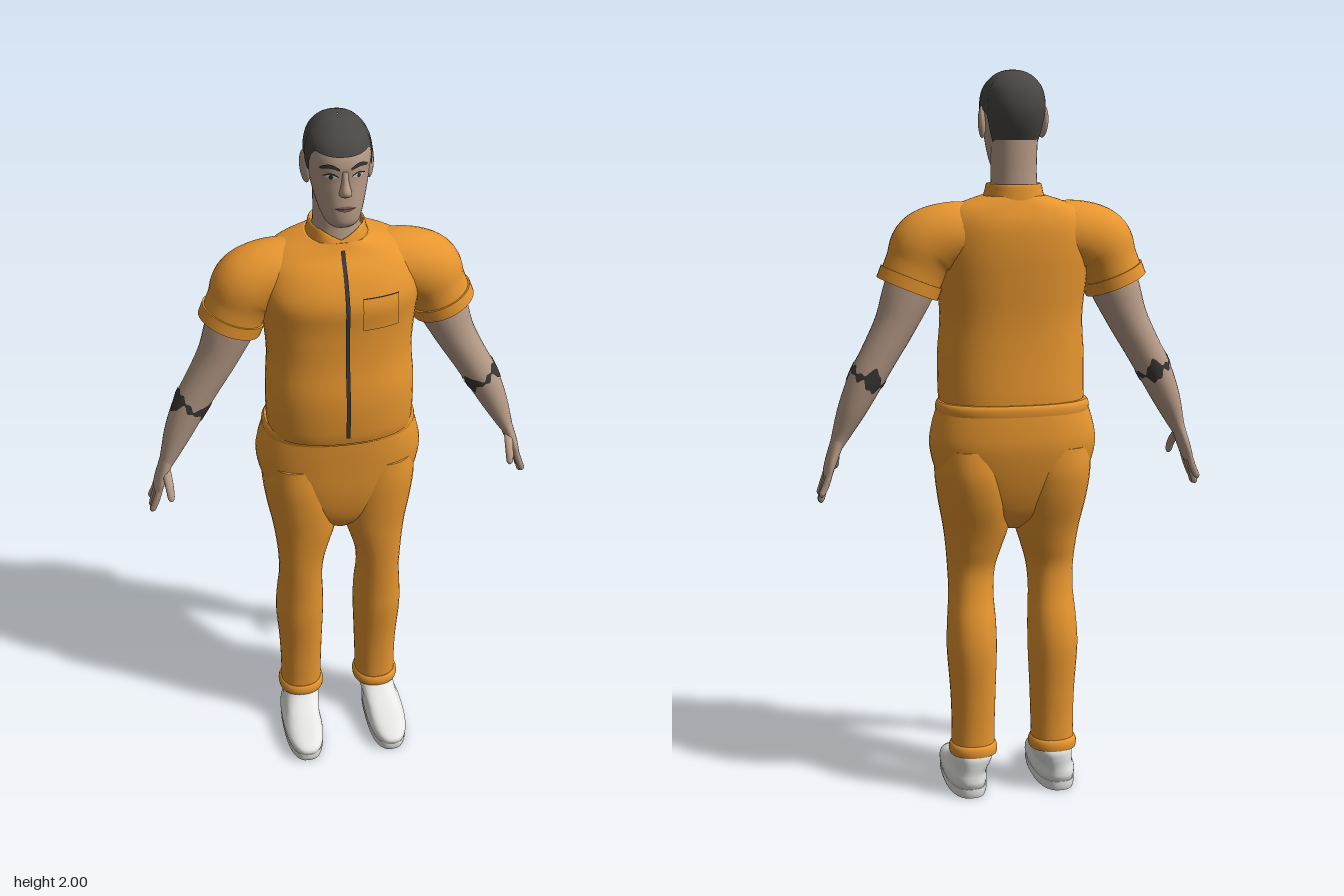
import * as THREE from 'three';

const paint = (name, color, side = THREE.FrontSide) => {
  const m = new THREE.MeshStandardMaterial({ color, side });
  m.name = name;
  return m;
};

// Smooth interpolation through rows of numbers; t runs from 0 to rows.length - 1
function sample(rows, t) {
  const last = rows.length - 1;
  const i = Math.max(0, Math.min(last - 1, Math.floor(t))), f = t - i;
  const row = k => rows[Math.max(0, Math.min(last, k))];
  return rows[0].map((_, k) => {
    const a = row(i - 1)[k], b = row(i)[k], c = row(i + 1)[k], d = row(i + 2)[k];
    return b + 0.5 * f * (c - a + f * (2 * a - 5 * b + 4 * c - d + f * (3 * (b - c) + d - a)));
  });
}
const rounded = (v, n) => Math.sign(v) * Math.abs(v) ** (2 / n);

// Upright form from rows of [y, half width, front z, back z, centre x]
function upright(rows, n = 2.2) {
  const full = rows.map(r => [r[0], r[1], r[2], r[3], r[4] ?? 0]);
  const at = (t, a) => {
    const [y, w, zf, zb, cx] = sample(full, t);
    return new THREE.Vector3(cx + w * rounded(Math.cos(a), n), y,
      (zf + zb) / 2 - (zf - zb) / 2 * rounded(Math.sin(a), n));
  };
  const end = rows.length - 1;
  const find = y => {
    let lo = 0, hi = end;
    for (let k = 0; k < 30; k++) {
      const m = (lo + hi) / 2;
      if (sample(full, m)[0] < y) lo = m; else hi = m;
    }
    return lo;
  };
  // Point on the front at a given x and y
  const front = (x, y, lift) => {
    const t = find(y), w = sample(full, t)[1];
    const c = rounded(Math.max(-1, Math.min(1, x / w)), 4 / n);
    const p = at(t, -Math.acos(c) + 2 * Math.PI);
    const q = at(t, Math.acos(c));
    p.z = Math.max(p.z, q.z) + lift;
    return p;
  };
  return { at, end, find, front };
}

// Limb from rows of [x, y, z, radius across, radius along z]
function limb(rows) {
  const end = rows.length - 1;
  const at = (t, a, grow = 0) => {
    const [x, y, z, ru, rv] = sample(rows, t);
    const p = sample(rows, Math.max(0, t - 0.05)), q = sample(rows, Math.min(end, t + 0.05));
    const dx = q[0] - p[0], dy = q[1] - p[1], l = Math.hypot(dx, dy) || 1;
    const u = (ru + grow) * Math.cos(a);
    return new THREE.Vector3(x - dy / l * u, y + dx / l * u, z + (rv + grow) * Math.sin(a));
  };
  return { at, end };
}

// Grid surface from fn(v, u), both 0..1; closed wraps u, capped fills both ends
function surface(fn, nv, nu, closed = true, capped = closed) {
  const pos = [], idx = [], cols = closed ? nu : nu + 1;
  for (let i = 0; i <= nv; i++)
    for (let j = 0; j < cols; j++) pos.push(...fn(i / nv, j / nu).toArray());
  for (let i = 0; i < nv; i++)
    for (let j = 0; j < nu; j++) {
      const k = (j + 1) % cols, a = i * cols + j, b = i * cols + k;
      idx.push(a, b, a + cols, b, b + cols, a + cols);
    }
  if (capped) for (const v of [0, 1]) {
    const base = pos.length / 3, mid = new THREE.Vector3();
    for (let j = 0; j < nu; j++) {
      const p = fn(v, j / nu);
      mid.addScaledVector(p, 1 / nu);
      pos.push(...p.toArray());
    }
    pos.push(...mid.toArray());
    for (let j = 0; j < nu; j++) {
      const a = base + j, b = base + (j + 1) % nu;
      if (v) idx.push(a, b, base + nu); else idx.push(b, a, base + nu);
    }
  }
  const g = new THREE.BufferGeometry();
  g.setAttribute('position', new THREE.Float32BufferAttribute(pos, 3));
  g.setIndex(idx);
  g.computeVertexNormals();
  return g;
}
const solid = (form, seg = 32, per = 4) =>
  surface((v, u) => form.at(v * form.end, u * Math.PI * 2), form.end * per, seg);
const plate = (form, x0, x1, lowEdge, highEdge, lift) => surface((v, u) =>
  form.front(x0 + (x1 - x0) * u, THREE.MathUtils.lerp(lowEdge(u), highEdge(u), v), lift), 10, 10, false);

function mirrored(geo) {
  const g = geo.clone().scale(-1, 1, 1), ix = g.index.array;
  for (let i = 0; i < ix.length; i += 3) [ix[i], ix[i + 1]] = [ix[i + 1], ix[i]];
  g.computeVertexNormals();
  return g;
}

export function createModel() {
  const model = new THREE.Group();
  model.name = 'standingMan';
  const orange = paint('orange cloth', 0xe8962f);
  const skin = paint('skin', 0xb89c88);
  const hairDark = paint('dark hair', 0x4a4643, THREE.DoubleSide);
  const white = paint('white shoe', 0xeeeeec);
  const dark = paint('dark trim', 0x3a3836, THREE.DoubleSide);
  const lip = paint('lips', 0x8a665c);
  const eyeWhite = paint('eye white', 0xd8d4ce);
  const add = (name, geo, mat) => {
    const m = new THREE.Mesh(geo, mat);
    m.name = name;
    model.add(m);
  };
  const pair = (name, geo, mat) => {
    add(name + 'Left', geo, mat);
    add(name + 'Right', mirrored(geo), mat);
  };

  // Shirt body, collar, zip and chest pocket
  const torso = upright([[1.11, .197, .104, -.165], [1.15, .2, .111, -.165], [1.25, .2, .114, -.16],
    [1.35, .194, .102, -.16], [1.45, .203, .099, -.168], [1.53, .212, .102, -.173], [1.6, .2, .072, -.17],
    [1.645, .165, .036, -.155], [1.675, .085, .02, -.14]], 2.4);
  add('shirt', solid(torso, 48), orange);
  const collar = solid(upright([[1.65, .088, .027, -.147], [1.685, .077, .022, -.143], [1.703, .073, .016, -.14],
    [1.706, .069, .012, -.136], [1.70, .066, .008, -.131], [1.67, .06, 0, -.12]]), 40);
  const cp = collar.attributes.position;
  for (let i = 0; i < cp.count; i++) {
    const f = Math.max(0, 1 - Math.abs(cp.getX(i)) / .05) * (cp.getZ(i) > -.05 ? 1 : 0);
    cp.setY(i, cp.getY(i) - .026 * f * THREE.MathUtils.smoothstep(cp.getY(i), 1.65, 1.7));
  }
  collar.computeVertexNormals();
  add('collar', collar, orange);
  add('zip', surface((v, u) => torso.front((u - .5) * .011, 1.135 + v * .525, .004), 50, 2, false), dark);
  add('chestPocket', plate(torso, .04, .137, () => 1.46, () => 1.55, .004), orange);
  add('pocketOpening', plate(torso, .04, .137, () => 1.55, () => 1.553, .004), dark);

  // Sleeves with turned cuffs
  const sleeveRows = [[.08, 1.565, -.055, .09, .085], [.17, 1.568, -.055, .091, .09],
    [.232, 1.54, -.052, .098, .088], [.263, 1.49, -.051, .084, .08], [.287, 1.432, -.051, .082, .079]];
  const sleeve = limb(sleeveRows);
  pair('sleeve', solid(sleeve, 32, 6), orange);
  pair('sleeveCuff', surface((v, u) => sleeve.at(3.42 + v * .6, u * Math.PI * 2, .005), 3, 32), orange);

  // Bare arms and the inked band below each elbow
  const arm = limb([[.24, 1.52, -.05, .066, .064], [.282, 1.43, -.05, .068, .064], [.32, 1.34, -.05, .056, .058],
    [.363, 1.26, -.05, .05, .054], [.402, 1.19, -.049, .047, .051], [.44, 1.11, -.044, .038, .043],
    [.47, 1.04, -.036, .024, .032], [.483, 1.01, -.035, .017, .03]]);
  pair('arm', solid(arm, 24), skin);
  pair('armBand', surface((v, u) => {
    const a = u * Math.PI * 2;
    const half = .1 + .27 * Math.max(0, Math.sin(a * 3 + .6)) + .06 * Math.sin(a * 11);
    return arm.at(3.9 + .08 * Math.sin(a * 5) + (v - .5) * 2 * half, a, .002);
  }, 6, 64, true, false), dark);

  // Hands
  pair('palm', solid(limb([[.474, 1.035, -.035, .019, .03], [.487, 1, -.034, .017, .035],
    [.499, .965, -.034, .015, .041], [.508, .935, -.036, .012, .039], [.511, .926, -.036, .005, .03]]), 20), skin);
  [[-.006, .872], [-.026, .857], [-.046, .86], [-.065, .878]].forEach(([z, tip], i) => {
    pair('finger' + (i + 1), solid(limb([[.503, .95, z, .009, .0105], [.514, .915, z, .0095, .0105],
      [.522, (.915 + tip) / 2, z - .001, .009, .0095], [.527, tip + .008, z - .002, .008, .0085],
      [.528, tip, z - .002, .002, .002]]), 10, 3), skin);
  });
  pair('thumb', solid(limb([[.483, 1.005, -.02, .012, .014], [.48, .985, .006, .012, .013],
    [.478, .963, .026, .011, .011], [.477, .942, .037, .009, .009], [.477, .933, .039, .002, .002]]), 12), skin);

  // Trousers
  add('trouserSeat', solid(upright([[.765, .03, .02, -.07], [.8, .1, .045, -.115], [.85, .165, .062, -.14],
    [.92, .208, .074, -.162], [1, .229, .08, -.178], [1.06, .222, .084, -.178], [1.11, .206, .086, -.174]], 2.4), 48), orange);
  add('waistband', solid(upright([[1.095, .209, .089, -.178], [1.105, .211, .091, -.179],
    [1.118, .209, .09, -.178], [1.125, .204, .086, -.172]], 2.4), 48, 2), orange);
  pair('trouserLeg', solid(upright([[.12, .06, .006, -.112, .115], [.2, .06, .008, -.112, .114],
    [.3, .063, .015, -.117, .114], [.42, .069, .031, -.126, .116], [.5, .067, .037, -.118, .115],
    [.58, .062, .044, -.098, .114], [.65, .066, .05, -.092, .112], [.71, .077, .056, -.108, .106],
    [.77, .09, .062, -.127, .101], [.85, .1, .07, -.155, .106], [.93, .1, .074, -.17, .115], [1, .09, .07, -.165, .12]]), 32), orange);
  pair('trouserCuff', solid(upright([[.12, .066, .013, -.121, .115], [.132, .068, .015, -.122, .115],
    [.145, .065, .012, -.119, .115], [.15, .06, .008, -.113, .115]]), 32, 2), orange);

  // Shoes
  pair('shoeSole', solid(upright([[0, .054, .172, -.114, .128], [.012, .057, .176, -.117, .128],
    [.027, .057, .176, -.117, .128]], 2.6), 36, 2), white);
  pair('shoeUpper', solid(upright([[.025, .055, .176, -.115, .128], [.04, .058, .184, -.121, .128],
    [.054, .057, .178, -.121, .128], [.066, .053, .15, -.12, .126], [.078, .051, .1, -.12, .123],
    [.094, .052, .048, -.121, .119], [.115, .053, .014, -.12, .115], [.14, .05, 0, -.105, .115]], 2.5), 36), white);

  // Head and neck
  const head = upright([[1.733, .03, .045, -.01], [1.75, .046, .062, -.05], [1.785, .06, .065, -.1],
    [1.83, .071, .063, -.128], [1.87, .078, .061, -.145], [1.91, .082, .062, -.15], [1.95, .074, .047, -.139],
    [1.978, .052, .014, -.112], [1.991, .027, -.015, -.08], [1.994, .002, -.043, -.047]]);
  add('head', solid(head, 40), skin);
  add('neck', solid(upright([[1.64, .07, .01, -.125], [1.7, .062, .002, -.126], [1.75, .06, .002, -.126],
    [1.82, .062, 0, -.128]]), 28), skin);
  // Hairline as [frontness, height]: nape, above the ear, sideburn, temple, forehead
  const line = [[-1, 1.805], [-.5, 1.812], [-.38, 1.885], [0, 1.908], [.1, 1.872], [.32, 1.875],
    [.42, 1.918], [.6, 1.938], [1, 1.932]];
  const hairline = s => {
    const k = Math.max(1, line.findIndex(p => p[0] >= s - 1e-6));
    return THREE.MathUtils.mapLinear(s, line[k - 1][0], line[k][0], line[k - 1][1], line[k][1]);
  };
  add('hair', surface((v, u) => {
    const a = u * Math.PI * 2;
    const p = head.at(THREE.MathUtils.lerp(head.find(hairline(-Math.sin(a))), head.end, v), a);
    return p.set(p.x * 1.04, p.y + .006 * v, (p.z + .045) * 1.04 - .045);
  }, 20, 80, true, false), hairDark);

  // Face
  add('nose', solid(upright([[1.828, .008, .07, .05], [1.835, .016, .083, .045], [1.848, .014, .088, .045],
    [1.87, .009, .076, .045], [1.895, .008, .066, .04]]), 16), skin);
  pair('ear', new THREE.SphereGeometry(1, 16, 12).scale(.011, .043, .025).rotateX(-.15)
    .rotateY(-.25).translate(.082, 1.866, -.047), skin);
  const arch = u => Math.sin(u * Math.PI);
  pair('brow', plate(head, .014, .06, u => 1.899 + .006 * arch(u), u => 1.905 + .01 * arch(u), .005), dark);
  pair('eyeWhite', plate(head, .019, .05, u => 1.88 - .005 * arch(u), u => 1.88 + .007 * arch(u), .002), eyeWhite);
  pair('iris', plate(head, .029, .041, u => 1.881 - .006 * arch(u), u => 1.881 + .006 * arch(u), .004), dark);
  pair('eyelid', plate(head, .016, .053, u => 1.881 + .006 * arch(u), u => 1.883 + .009 * arch(u), .004), dark);
  add('mouth', plate(head, -.026, .026, u => 1.795 - .007 * arch(u), u => 1.797 + .006 * arch(u), .003), lip);
  add('mouthLine', plate(head, -.025, .025, () => 1.795, () => 1.798, .005), dark);
  return model;
}
